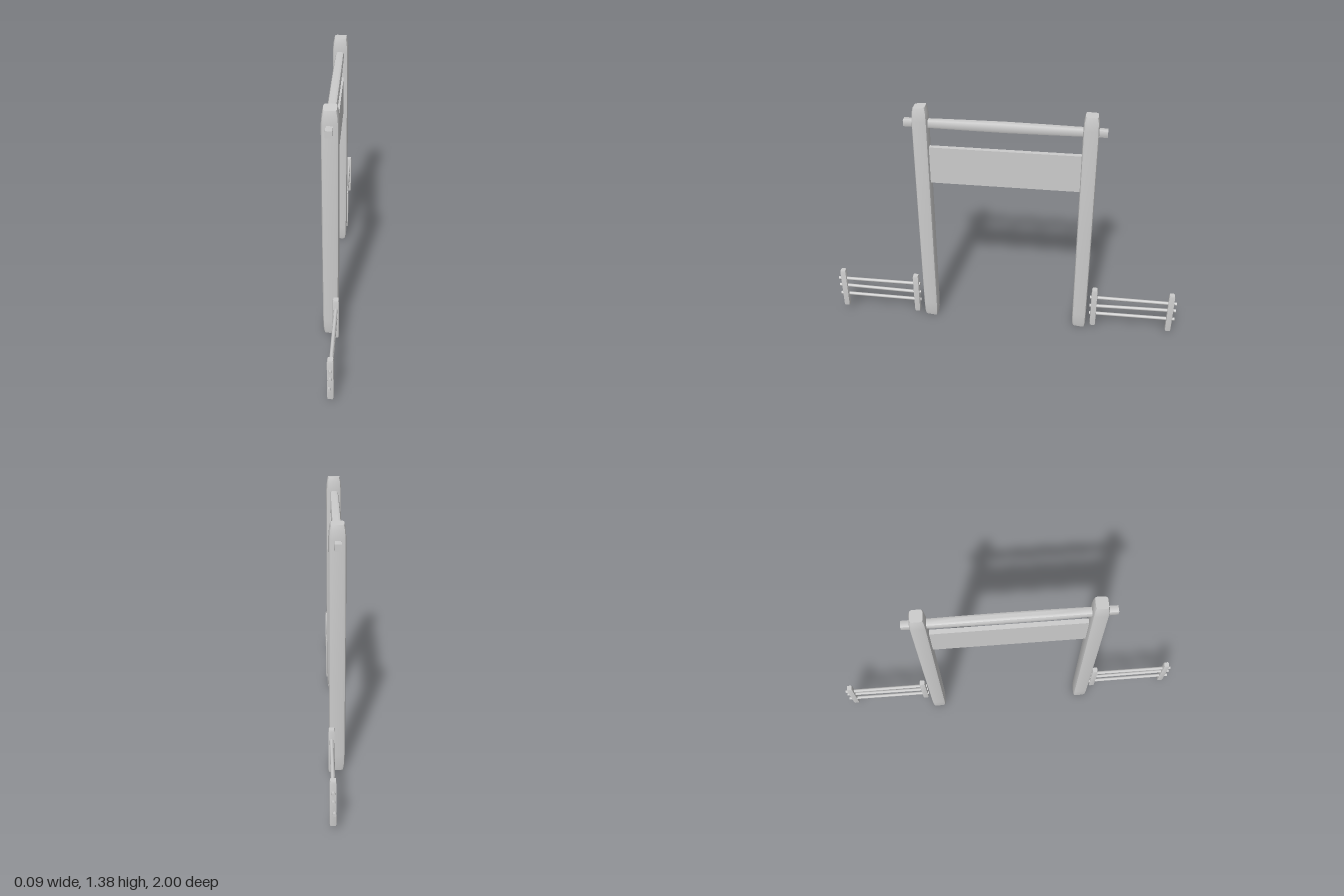
import * as THREE from 'three';
import { toCreasedNormals } from 'three/addons/utils/BufferGeometryUtils.js';

const material = new THREE.MeshStandardMaterial({ color: 0xcccccc, side: THREE.DoubleSide });

// Rounded rectangle outline, three points per corner
function outline(w, d, r) {
  const pts = [];
  for (let q = 0; q < 4; q++) {
    const sx = q === 0 || q === 3 ? 1 : -1, sz = q < 2 ? 1 : -1;
    for (let k = 0; k < 3; k++) {
      const a = (q + k / 2) * Math.PI / 2;
      pts.push([sx * (w / 2 - r) + r * Math.cos(a), sz * (d / 2 - r) + r * Math.sin(a)]);
    }
  }
  return pts;
}

// Loft rows [y, width, depth, corner radius, topSlope] along y
function loft(rows, capBottom) {
  const rings = rows.map(([y, w, d, r, slope = 0]) =>
    outline(w, d, r).map(([x, z]) => [x, y + slope * z, z]));
  const n = rings[0].length, pos = [];
  const tri = (...p) => p.forEach(v => pos.push(...v));
  for (let j = 0; j < rings.length - 1; j++) {
    for (let i = 0; i < n; i++) {
      const k = (i + 1) % n;
      const a = rings[j][i], b = rings[j][k], c = rings[j + 1][k], d = rings[j + 1][i];
      tri(a, d, c);
      tri(a, c, b);
    }
  }
  const last = rings.length - 1, top = [0, rows[last][0], 0], bottom = [0, rows[0][0], 0];
  for (let i = 0; i < n; i++) {
    const k = (i + 1) % n;
    tri(top, rings[last][k], rings[last][i]);
    if (capBottom) tri(bottom, rings[0][i], rings[0][k]);
  }
  const g = new THREE.BufferGeometry();
  g.setAttribute('position', new THREE.Float32BufferAttribute(pos, 3));
  return toCreasedNormals(g, 0.6);
}

function add(parent, name, geometry, x, y, z) {
  const m = new THREE.Mesh(geometry, material);
  m.name = name;
  m.position.set(x, y, z);
  parent.add(m);
  return m;
}

export function createModel() {
  const model = new THREE.Group();
  model.name = 'gateway';

  // Tall gate posts with worn, tapered ends, open underneath
  for (const [name, z, slope] of [['frontPost', 0.445, -0.12], ['backPost', -0.445, 0.02]]) {
    add(model, name, loft([
      [0.006, 0.068, 0.07, 0.012, 0.1],
      [0.03, 0.078, 0.078, 0.014],
      [0.1, 0.084, 0.081, 0.015],
      [0.7, 0.087, 0.082, 0.015],
      [1.3, 0.086, 0.082, 0.015],
      [1.35, 0.077, 0.076, 0.014, slope],
      [1.374, 0.066, 0.064, 0.012, slope],
    ], false), -0.003, 0, z);
  }

  // Crossbeam, thickest in the middle, with square ends through the posts
  const beam = loft([
    [-0.53, 0.036, 0.038, 0.003],
    [-0.45, 0.038, 0.04, 0.004],
    [-0.4, 0.044, 0.044, 0.011],
    [-0.2, 0.049, 0.051, 0.015],
    [0, 0.05, 0.055, 0.016],
    [0.2, 0.049, 0.051, 0.015],
    [0.4, 0.044, 0.044, 0.011],
    [0.45, 0.038, 0.04, 0.004],
    [0.535, 0.036, 0.038, 0.003],
  ], true).rotateX(Math.PI / 2);
  add(model, 'crossbeam', beam, -0.005, 1.277, 0);

  // Plain sign board between the posts
  add(model, 'signBoard', new THREE.BoxGeometry(0.026, 0.215, 0.82), 0.004, 1.037, 0);

  // Low rail fences on either side
  for (const side of [1, -1]) {
    const fence = new THREE.Group();
    fence.name = side > 0 ? 'frontFence' : 'backFence';
    model.add(fence);

    for (const z of [0.527, 0.967]) {
      add(fence, 'fencePost', loft([
        [0.035, 0.031, 0.031, 0.006],
        [0.05, 0.034, 0.034, 0.006],
        [0.28, 0.033, 0.034, 0.006],
        [0.292, 0.028, 0.028, 0.006],
      ], false), 0.028, 0, side * z);
    }

    // Rails: x, inner height, outer height
    for (const [x, inner, outer] of [[0.022, 0.109, 0.112], [0.027, 0.168, 0.178], [0.028, 0.231, 0.229]]) {
      const rail = new THREE.CylinderGeometry(0.01, 0.01, 0.497, 8).rotateX(Math.PI / 2);
      const m = add(fence, 'fenceRail', rail, x, (inner + outer) / 2, side * 0.751);
      m.rotation.x = -side * Math.atan2(outer - inner, 0.5);
    }
  }
  return model;
}
